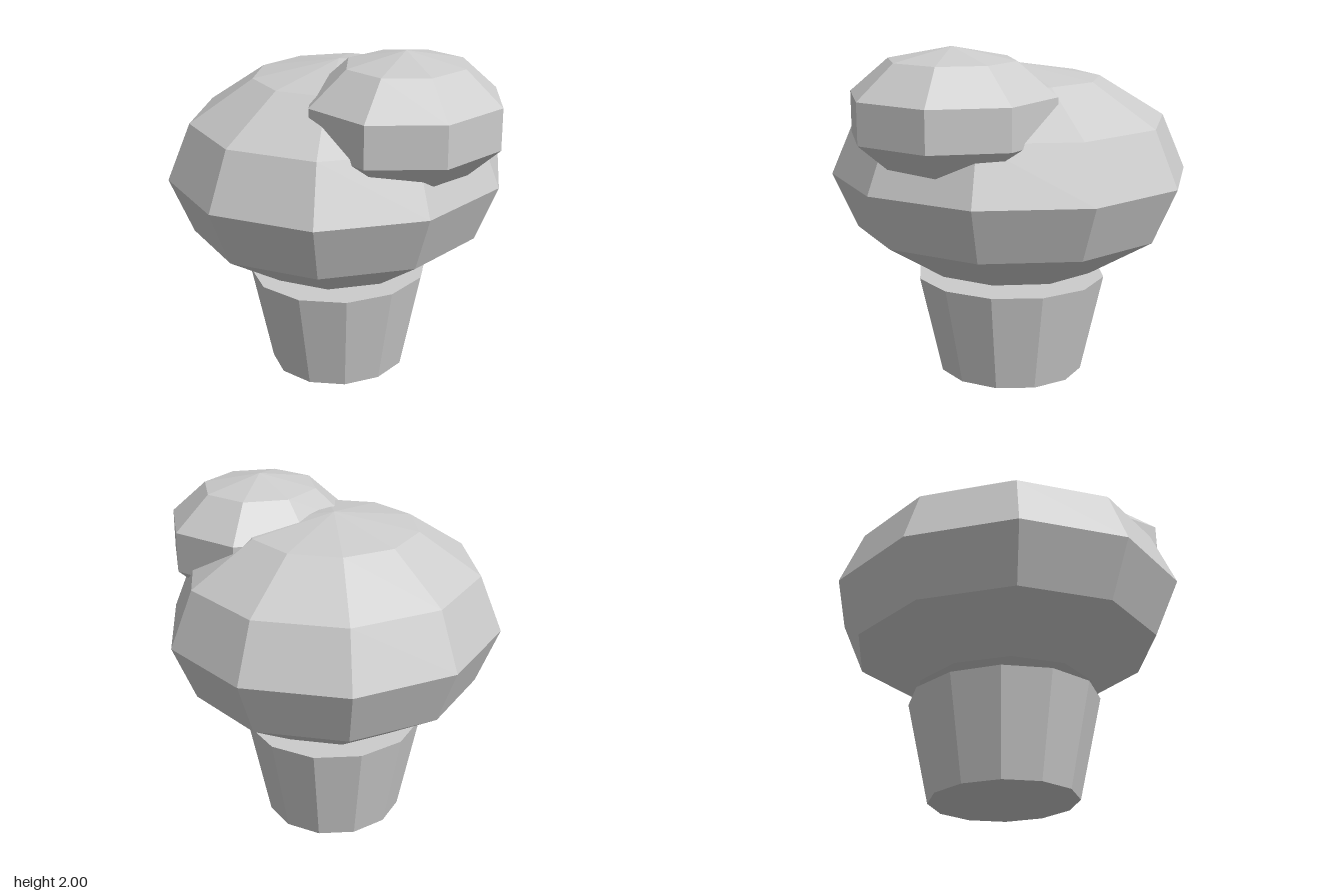
import * as THREE from 'three';

export function createModel() {
  const model = new THREE.Group();
  const grey = new THREE.MeshStandardMaterial({ color: 0xcccccc, flatShading: true });
  grey.name = 'light grey';

  const add = (name, geometry, position, scale) => {
    const mesh = new THREE.Mesh(geometry, grey);
    mesh.name = name;
    mesh.position.set(...position);
    mesh.scale.set(...scale);
    model.add(mesh);
  };

  // Tapered twelve-sided trunk, slightly narrower across x
  add('trunk', new THREE.CylinderGeometry(0.567, 0.436, 0.595, 12), [-0.03, 0.2975, 0], [0.925, 1, 1]);

  // Wide flattened crown
  add('crown', new THREE.SphereGeometry(1, 10, 6), [-0.03, 1.22, 0], [0.97, 0.645, 1.052]);

  // Smaller tuft sunk into the upper front left of the crown
  add('tuft', new THREE.SphereGeometry(1, 8, 5), [0.458, 1.626, 0.219], [0.57, 0.374, 0.612]);

  return model;
}
